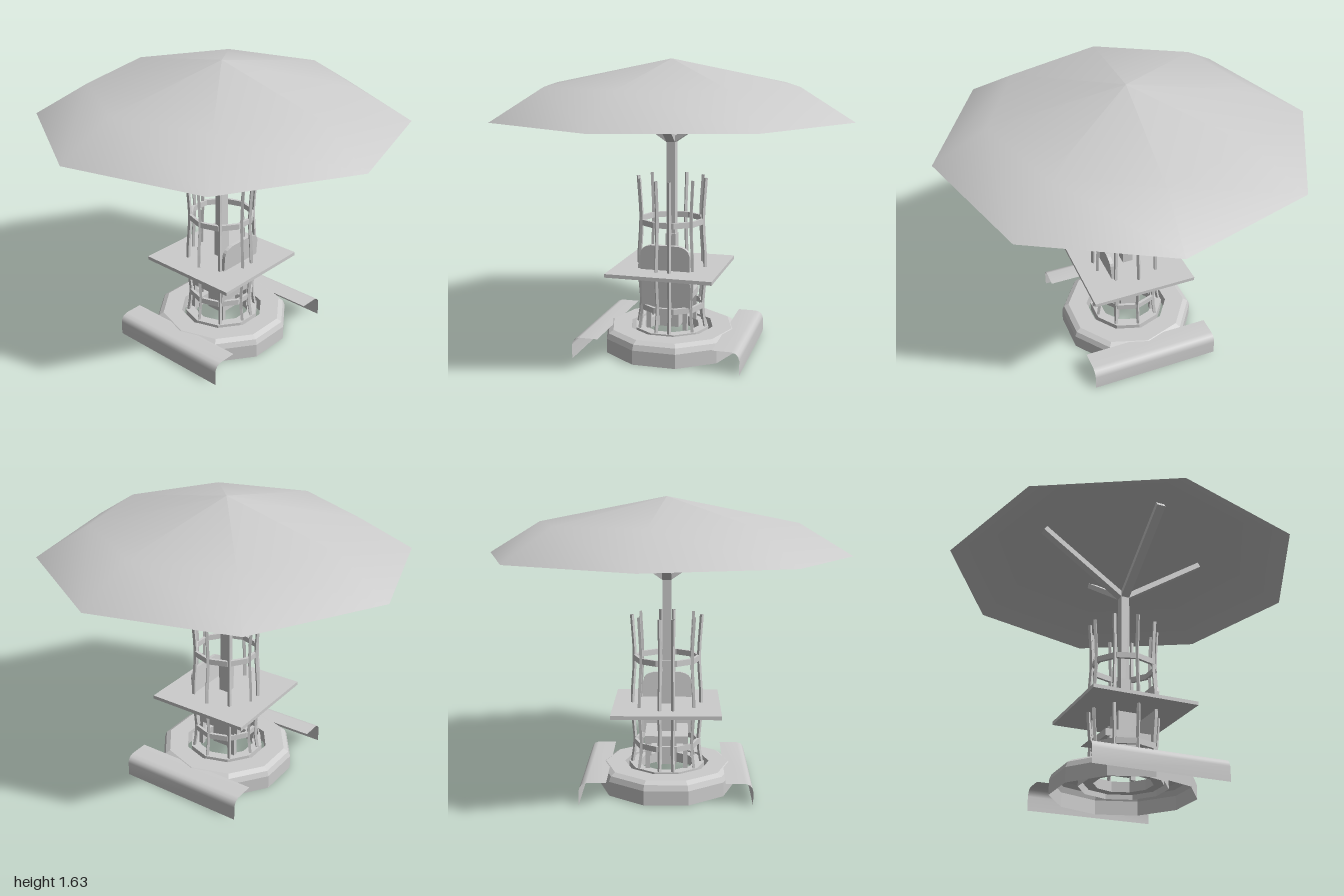
import * as THREE from 'three';

const V2 = (a) => a.map(([x, y]) => new THREE.Vector2(x, y));

export function createModel() {
  const root = new THREE.Group();
  const smooth = new THREE.MeshStandardMaterial({ color: 0xcccccc, side: THREE.DoubleSide });
  const flat = new THREE.MeshStandardMaterial({ color: 0xcccccc, side: THREE.DoubleSide, flatShading: true });

  const add = (name, geo, mat = flat, parent = root) => {
    const m = new THREE.Mesh(geo, mat);
    m.name = name;
    parent.add(m);
    return m;
  };
  const box = (name, w, h, d, x, y, z, parent = root) => {
    const m = add(name, new THREE.BoxGeometry(w, h, d), flat, parent);
    m.position.set(x, y, z);
    return m;
  };

  // Eight-sided canopy, a thin shell open below
  const canopy = add('canopy', new THREE.LatheGeometry(V2([[1.007, 1.315], [0.715, 1.49], [0, 1.63]]), 8), smooth);
  canopy.rotation.y = THREE.MathUtils.degToRad(38.2);

  // Centre pole with two square sleeves
  box('pole', 0.05, 1.06, 0.05, 0, 0.66, 0);
  box('lowerSleeve', 0.11, 0.34, 0.11, 0, 0.295, 0);
  box('upperSleeve', 0.06, 0.2, 0.06, 0, 0.56, 0);

  // Four struts rising from the pole to the canopy
  const strutLength = 0.6;
  for (let i = 0; i < 4; i++) {
    const arm = new THREE.Group();
    arm.name = 'canopyStrut';
    arm.rotation.y = i * Math.PI / 2;
    const strut = box('strut', strutLength, 0.03, 0.05, 0.25, 1.347, 0, arm);
    strut.rotation.z = Math.atan(0.68);
    root.add(arm);
  }

  // Wavy upright ribs in a ring around the pole
  const profile = [[0.197, 0.125], [0.18, 0.25], [0.192, 0.4], [0.194, 0.52], [0.181, 0.74], [0.195, 0.98]];
  const ribCurve = new THREE.CatmullRomCurve3(profile.map(([r, y]) => new THREE.Vector3(0, y, r)));
  const ribGeo = new THREE.TubeGeometry(ribCurve, 12, 0.011, 4);
  for (const deg of [0, 39, 79, 101, 141, 180, 219, 259, 281, 321]) {
    add('cageRib', ribGeo).rotation.y = THREE.MathUtils.degToRad(deg);
  }

  // Two hoops tying the ribs together
  for (const y of [0.25, 0.735]) {
    const hoop = V2([[0.17, -0.016], [0.187, -0.016], [0.187, 0.016], [0.17, 0.016], [0.17, -0.016]]);
    add('cageHoop', new THREE.LatheGeometry(hoop, 10)).position.y = y;
  }

  // Square table top
  box('tableTop', 0.6, 0.02, 0.6, 0, 0.465, 0);

  // Chair inside the cage: seat, legs and a rounded back
  const chair = new THREE.Group();
  chair.name = 'chair';
  root.add(chair);
  box('seat', 0.26, 0.04, 0.24, -0.025, 0.3, 0, chair);
  for (const x of [-0.12, 0.1]) {
    for (const z of [-0.105, 0.105]) box('chairLeg', 0.025, 0.155, 0.025, x, 0.205, z, chair);
  }
  const back = new THREE.Shape();
  back.moveTo(-0.14, 0);
  back.lineTo(0.14, 0);
  back.lineTo(0.14, 0.31);
  back.quadraticCurveTo(0.135, 0.35, 0.08, 0.36);
  back.lineTo(-0.08, 0.36);
  back.quadraticCurveTo(-0.135, 0.35, -0.14, 0.31);
  const chairBack = add('chairBack', new THREE.ExtrudeGeometry(back, { depth: 0.02, bevelEnabled: false, curveSegments: 4 }), flat, chair);
  chairBack.rotation.set(0, Math.PI / 2, 0);
  chairBack.rotation.order = 'ZYX';
  chairBack.rotation.z = -0.08;
  chairBack.position.set(0.105, 0.26, 0);

  // Ring seat with a rolled edge, hollow below
  const ring = [[0.39, 0], [0.39, 0.08], [0.378, 0.11], [0.35, 0.127], [0.24, 0.127], [0.24, 0.05]];
  add('ringSeat', new THREE.LatheGeometry(V2(ring), 10));
  // Inner kerb that carries the cage
  const kerb = [[0.215, 0.07], [0.215, 0.127], [0.16, 0.127], [0.16, 0.07], [0.215, 0.07]];
  add('innerKerb', new THREE.LatheGeometry(V2(kerb), 10));

  // Two straight rolled benches at front and back, thin sheets open below
  const section = [[0.468, 0], [0.468, 0.08], [0.462, 0.1], [0.45, 0.115], [0.425, 0.124], [0.32, 0.124]];
  const pos = [], idx = [];
  section.forEach(([z, y], i) => {
    pos.push(-0.37, y, z, 0.37, y, z);
    if (i) {
      const a = 2 * i - 2;
      idx.push(a, a + 1, a + 3, a, a + 3, a + 2);
    }
  });
  const benchGeo = new THREE.BufferGeometry();
  benchGeo.setAttribute('position', new THREE.Float32BufferAttribute(pos, 3));
  benchGeo.setIndex(idx);
  benchGeo.computeVertexNormals();
  for (const side of [0, 1]) add(side ? 'backBench' : 'frontBench', benchGeo, smooth).rotation.y = side * Math.PI;

  return root;
}
